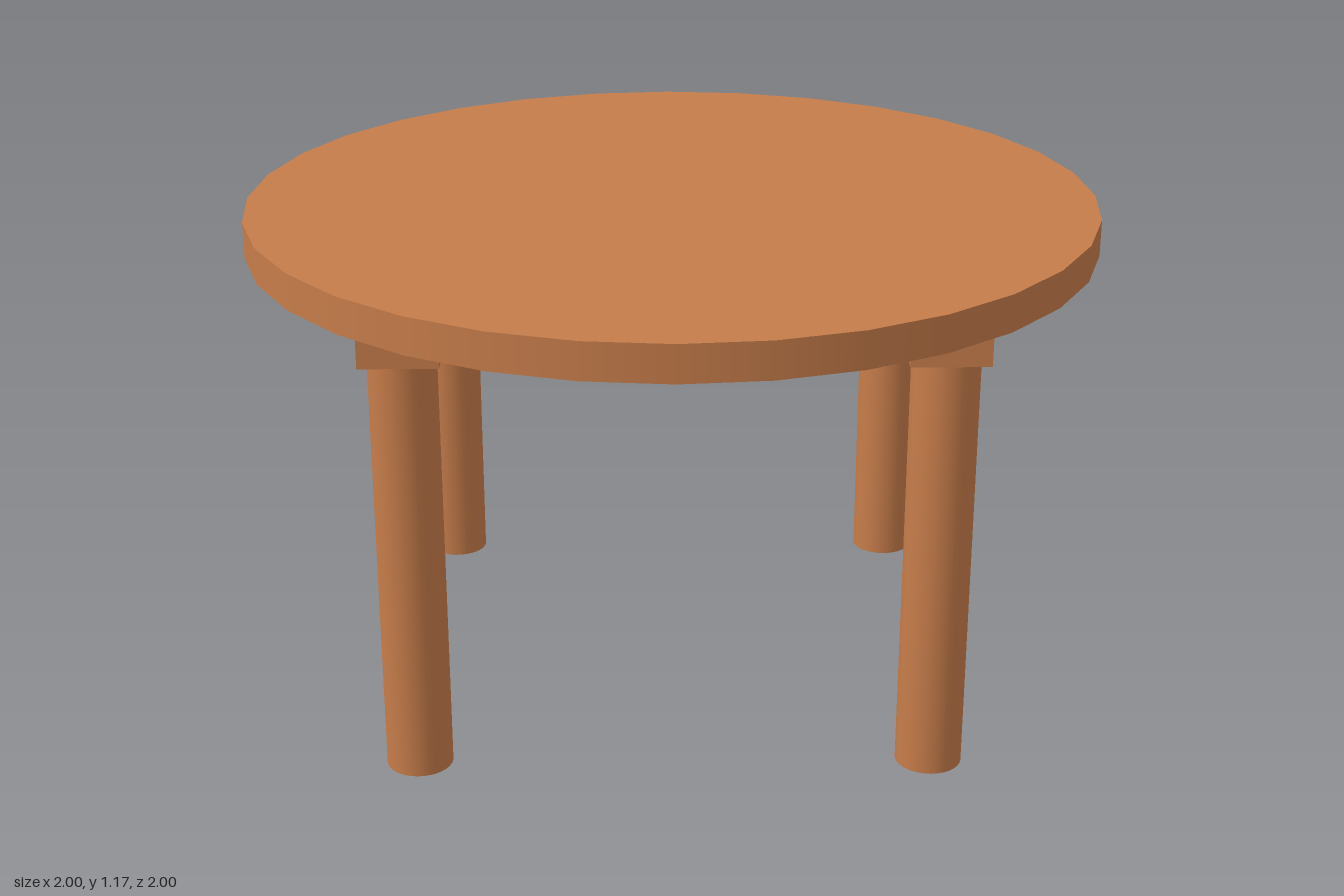
import * as THREE from 'three';

const TOP_Y = 1.175, APRON_TOP = 1.09, LEG_TOP = 1.0;
const OFFSET = 0.587; // distance of the leg axes from the centre lines

export function createModel() {
  const wood = new THREE.MeshStandardMaterial({ color: 0xc67c4a });
  wood.name = 'warm wood';
  const table = new THREE.Group();
  table.name = 'roundTable';

  const add = (name, geometry, x, y, z) => {
    const mesh = new THREE.Mesh(geometry, wood);
    mesh.name = name;
    mesh.position.set(x, y, z);
    table.add(mesh);
    return mesh;
  };

  // Round top
  const topH = TOP_Y - APRON_TOP;
  add('tableTop', new THREE.CylinderGeometry(1, 1, topH, 32), 0, APRON_TOP + topH / 2, 0);

  // Legs, each with a square corner block above it
  const apronH = APRON_TOP - LEG_TOP, apronY = LEG_TOP + apronH / 2;
  const blockSize = 0.175;
  const leg = new THREE.CylinderGeometry(0.076, 0.076, LEG_TOP, 32);
  const block = new THREE.BoxGeometry(blockSize, apronH, blockSize);
  for (const sx of [-1, 1]) {
    for (const sz of [-1, 1]) {
      const place = (sz > 0 ? 'front' : 'back') + (sx > 0 ? 'Left' : 'Right');
      add(place + 'Leg', leg, sx * OFFSET, LEG_TOP / 2, sz * OFFSET);
      add(place + 'CornerBlock', block, sx * OFFSET, apronY, sz * OFFSET);
    }
  }

  // Apron rails joining the corner blocks
  const rail = new THREE.BoxGeometry(2 * OFFSET - blockSize, apronH, 0.085);
  ['front', 'left', 'back', 'right'].forEach((side, i) => {
    const a = (i * Math.PI) / 2;
    add(side + 'Rail', rail, Math.sin(a) * OFFSET, apronY, Math.cos(a) * OFFSET).rotation.y = a;
  });

  return table;
}
